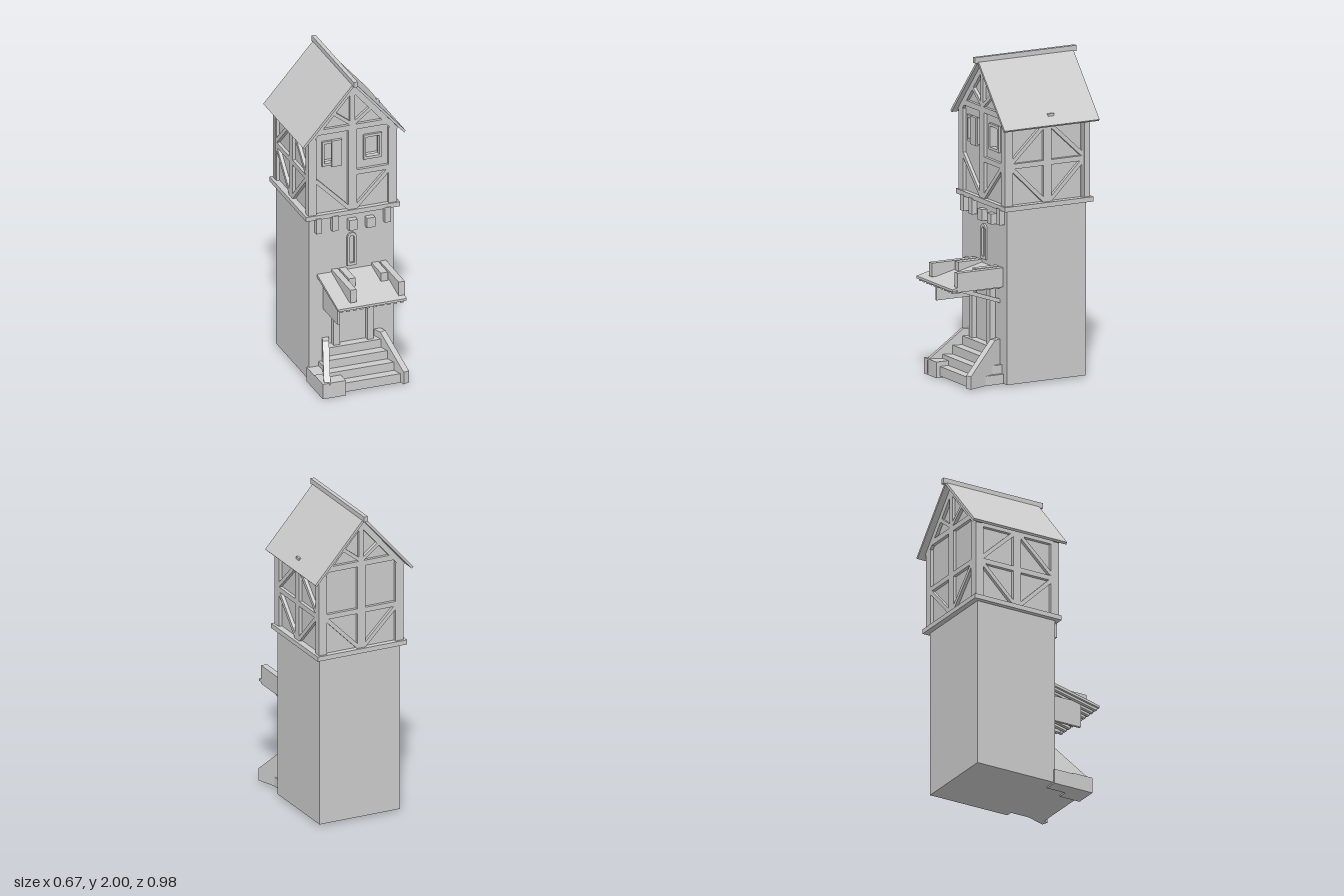
import * as THREE from 'three';

const mat = new THREE.MeshStandardMaterial({ color: 0xcccccc, flatShading: true });

function add(parent, name, geo) {
  const m = new THREE.Mesh(geo, mat);
  m.name = name;
  parent.add(m);
  return m;
}

// Box from its extents
function box(parent, name, x0, x1, y0, y1, z0, z1) {
  const m = add(parent, name, new THREE.BoxGeometry(x1 - x0, y1 - y0, z1 - z0));
  m.position.set((x0 + x1) / 2, (y0 + y1) / 2, (z0 + z1) / 2);
  return m;
}

const shapeOf = pts => new THREE.Shape(pts.map(p => new THREE.Vector2(p[0], p[1])));

// Outline in x,y extruded from z0 to z1
function slabZ(parent, name, shape, z0, z1) {
  const geo = new THREE.ExtrudeGeometry(shape, { depth: z1 - z0, bevelEnabled: false, curveSegments: 10 });
  return add(parent, name, geo.translate(0, 0, z0));
}

// Outline in z,y extruded from x0 to x1
function slabX(parent, name, pts, x0, x1) {
  const geo = new THREE.ExtrudeGeometry(shapeOf(pts), { depth: x1 - x0, bevelEnabled: false });
  return add(parent, name, geo.rotateY(-Math.PI / 2).translate(x1, 0, 0));
}

// Straight timber between two points of a facade, its face at z = 0
function timber(parent, name, a, b, w, d = 0.04) {
  const dx = b[0] - a[0], dy = b[1] - a[1];
  const m = add(parent, name, new THREE.BoxGeometry(Math.hypot(dx, dy), w, d));
  m.position.set((a[0] + b[0]) / 2, (a[1] + b[1]) / 2, -d / 2);
  m.rotation.z = Math.atan2(dy, dx);
}

const rect = (x0, x1, y0, y1) => [[x0, y0], [x1, y0], [x1, y1], [x0, y1]];

// Half-timbered frame for one side of the upper storey
function facade(root, name, angle, dist, half, { gable = false, front = false }) {
  const g = new THREE.Group();
  g.name = name;
  g.rotation.y = angle;
  g.position.set(Math.sin(angle) * dist, 0, -0.135 + Math.cos(angle) * dist);
  root.add(g);
  timber(g, 'centrePost', [0, 1.12], [0, 1.66], 0.055);
  for (const s of [-1, 1]) {
    timber(g, 'cornerPost', [s * (half - 0.027), 1.12], [s * (half - 0.027), 1.63], 0.054);
    if (!(front && s < 0)) timber(g, 'midRail', [0, 1.365], [s * half, 1.365], 0.032, 0.037);
    timber(g, 'lowerBrace', [s * (half - 0.05), 1.35], [s * 0.02, 1.13], 0.025, 0.032);
    if (!gable) timber(g, 'upperBrace', [s * 0.02, 1.6], [s * (half - 0.05), 1.39], 0.025, 0.032);
    if (gable) {
      timber(g, 'rafter', [s * 0.285, 1.608], [0, 1.935], 0.035);
      timber(g, 'gableStrut', [0, 1.69], [s * 0.13, 1.79], 0.022, 0.032);
    }
  }
  if (gable) {
    timber(g, 'tieBeam', [-0.235, 1.672], [0.235, 1.672], 0.035, 0.042);
    timber(g, 'kingPost', [0, 1.67], [0, 1.93], 0.03, 0.036);
  } else {
    timber(g, 'topRail', [-half, 1.61], [half, 1.61], 0.035, 0.038);
  }
}

export function createModel() {
  const root = new THREE.Group();
  root.name = 'towerHouse';

  // Stone tower and ledge
  box(root, 'tower', -0.275, 0.275, 0.01, 1.1, -0.41, 0.14);
  box(root, 'ledge', -0.305, 0.305, 1.092, 1.122, -0.445, 0.17);
  [[-0.222, 1.0, 1.1], [-0.117, 1.0, 1.1], [0, 0.985, 1.055], [0.115, 0.985, 1.05], [0.225, 1.0, 1.1]]
    .forEach(([x, y0, y1], i) => {
      const w = i === 2 || i === 3 ? 0.027 : 0.019;
      box(root, 'corbel', x - w, x + w, y0, y1, 0.13, 0.175);
    });

  // Arched slit window
  const arch = (w, y0, y1) => {
    const s = new THREE.Shape();
    s.moveTo(-w, y0).lineTo(w, y0).lineTo(w, y1);
    s.absarc(0, y1, w, 0, Math.PI, false);
    s.closePath();
    return s;
  };
  const slit = arch(0.03, 0.74, 0.93);
  slit.holes.push(arch(0.015, 0.758, 0.925));
  slabZ(root, 'slitFrame', slit, 0.13, 0.153);

  // Upper storey with window openings in its front wall
  const outline = [[-0.265, 1.11], [0.265, 1.11], [0.265, 1.65], [0, 1.95], [-0.265, 1.65]];
  slabZ(root, 'upperStorey', shapeOf(outline), -0.41, 0.09);
  const wall = shapeOf(outline);
  const windows = [[-0.185, -0.075], [0.085, 0.185]];
  for (const [a, b] of windows) wall.holes.push(shapeOf(rect(a, b, 1.45, 1.59)));
  slabZ(root, 'frontWall', wall, 0.09, 0.14);
  for (const [a, b] of windows) {
    const frame = shapeOf(rect(a - 0.01, b + 0.01, 1.438, 1.602));
    frame.holes.push(shapeOf(rect(a + 0.006, b - 0.006, 1.455, 1.585)));
    slabZ(root, 'windowFrame', frame, 0.12, 0.155);
  }
  box(root, 'shutter', -0.135, -0.07, 1.43, 1.605, 0.145, 0.165);

  facade(root, 'frontTimbers', 0, 0.295, 0.288, { gable: true, front: true });
  facade(root, 'backTimbers', Math.PI, 0.295, 0.288, { gable: true });
  facade(root, 'leftTimbers', Math.PI / 2, 0.286, 0.294, {});
  facade(root, 'rightTimbers', -Math.PI / 2, 0.286, 0.294, {});

  // Roof
  for (const s of [-1, 1]) {
    const pts = [[0, 1.985], [s * 0.335, 1.605], [s * 0.324, 1.594], [0, 1.962]];
    slabZ(root, 'roofSlope', shapeOf(pts), -0.47, 0.19);
  }
  box(root, 'ridgeBeam', -0.013, 0.013, 1.965, 2.0, -0.49, 0.215);
  box(root, 'roofPeg', 0.277, 0.293, 1.645, 1.668, -0.175, -0.135);

  // Door with posts
  box(root, 'door', -0.1, 0.1, 0.23, 0.6, 0.13, 0.148);
  for (const s of [-1, 1]) box(root, 'doorPost', s * 0.11 - 0.02, s * 0.11 + 0.02, 0.22, 0.62, 0.13, 0.178);
  box(root, 'doorLintel', -0.13, 0.13, 0.58, 0.62, 0.13, 0.178);

  // Canopy with battens, beams and supports
  slabX(root, 'canopy', [[0.13, 0.715], [0.13, 0.695], [0.49, 0.615], [0.49, 0.63]], -0.223, 0.223);
  for (let i = 0; i < 10; i++) {
    const x = -0.198 + i * 0.044;
    slabX(root, 'batten', [[0.13, 0.7], [0.13, 0.68], [0.48, 0.602], [0.48, 0.622]], x - 0.011, x + 0.011);
  }
  box(root, 'canopyBeam', -0.13, -0.09, 0.645, 0.73, 0.13, 0.455);
  box(root, 'canopyBeam', 0.185, 0.225, 0.61, 0.73, 0.13, 0.455);
  box(root, 'canopyBlock', -0.08, -0.037, 0.65, 0.73, 0.13, 0.303);
  box(root, 'canopyBlock', 0.13, 0.175, 0.65, 0.73, 0.13, 0.3);
  box(root, 'supportBoard', -0.185, -0.168, 0.475, 0.64, 0.13, 0.38);
  box(root, 'supportRail', 0.165, 0.187, 0.595, 0.615, 0.13, 0.45);
  slabX(root, 'supportBrace', [[0.13, 0.525], [0.13, 0.5], [0.42, 0.6], [0.4, 0.62]], 0.167, 0.185);

  // Stairs widening towards the ground
  for (let i = 0; i < 4; i++) {
    const w = 0.17 + i * 0.021;
    box(root, 'step', -w, w, 0.01, 0.235 - i * 0.055, 0.13, 0.2 + i * 0.058);
  }
  const profile = [[-0.03, 0], [0.265, 0], [0.265, 0.08], [0.045, 0.27], [-0.03, 0.27]];
  for (const s of [-1, 1]) {
    const side = new THREE.Group();
    side.name = s > 0 ? 'leftStairWall' : 'rightStairWall';
    side.scale.x = s;
    root.add(side);
    const m = slabZ(side, 'stairWall', shapeOf(profile), 0, 0.04);
    m.position.set(0.19, 0.01, 0.14);
    m.rotation.y = -1.24;
  }
  slabZ(root, 'stairBlock', shapeOf([[-0.287, 0.0], [-0.137, 0.0], [-0.137, 0.1], [-0.287, 0.1]]), 0.26, 0.4);
  box(root, 'stairBlockBase', -0.287, -0.2, 0, 0.095, 0.13, 0.27);

  return root;
}
